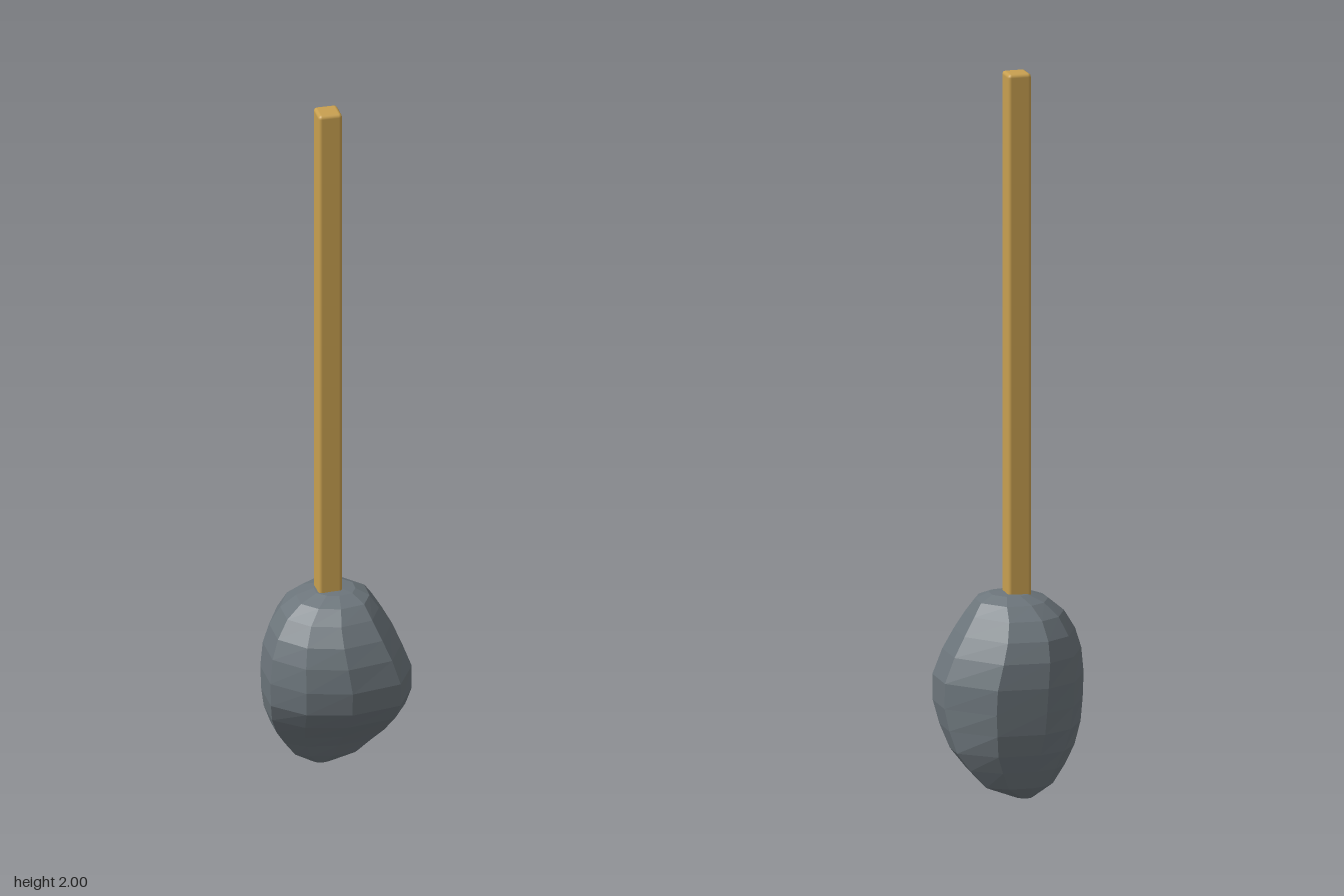
import * as THREE from 'three';
import { RoundedBoxGeometry } from 'three/addons/geometries/RoundedBoxGeometry.js';

// Ten-sided outline of the stone, unit size, as [x, z]
const outline = [
  [0, 1], [0.7, 0.86], [0.98, 0.35], [1, -0.3], [0.45, -0.95],
  [-0.25, -1], [-0.7, -0.72], [-1, -0.15], [-1, 0.42], [-0.6, 0.83],
];

// Stone cross-sections from bottom to top: [y, xMin, xMax, zMin, zMax]
const sections = [
  [0.005, -0.045, 0, -0.09, -0.05],
  [0.04, -0.1, 0.09, -0.125, -0.015],
  [0.09, -0.135, 0.135, -0.148, 0.025],
  [0.14, -0.165, 0.172, -0.168, 0.075],
  [0.2, -0.188, 0.19, -0.184, 0.14],
  [0.26, -0.199, 0.2, -0.191, 0.188],
  [0.33, -0.202, 0.199, -0.198, 0.2],
  [0.4, -0.195, 0.172, -0.194, 0.192],
  [0.455, -0.178, 0.142, -0.175, 0.172],
  [0.505, -0.148, 0.112, -0.142, 0.138],
  [0.54, -0.106, 0.088, -0.1, 0.1],
  [0.558, -0.058, 0.052, -0.055, 0.055],
];

function stoneGeometry() {
  const n = outline.length;
  const pos = [], index = [];
  for (const [y, x0, x1, z0, z1] of sections) {
    for (const [u, v] of outline) {
      pos.push((x0 + x1) / 2 + u * (x1 - x0) / 2, y, (z0 + z1) / 2 + v * (z1 - z0) / 2);
    }
  }
  const bottom = pos.length / 3;
  pos.push(-0.025, 0, -0.07, 0, 0.563, 0);
  const last = (sections.length - 1) * n;
  for (let i = 0; i < n; i++) {
    const j = (i + 1) % n;
    for (let r = 0; r < last; r += n) {
      index.push(r + i, r + j, r + n + j, r + i, r + n + j, r + n + i);
    }
    index.push(bottom, j, i, bottom + 1, last + i, last + j);
  }
  const geo = new THREE.BufferGeometry();
  geo.setAttribute('position', new THREE.Float32BufferAttribute(pos, 3));
  geo.setIndex(index);
  geo.computeVertexNormals();
  return geo;
}

export function createModel() {
  const model = new THREE.Group();
  model.name = 'stoneOnStick';

  // Faceted stone head, hollowed under its front
  const stone = new THREE.Mesh(
    stoneGeometry(),
    new THREE.MeshStandardMaterial({ color: 0x6c757b, flatShading: true }),
  );
  stone.name = 'stoneHead';
  model.add(stone);

  // Square wooden handle with softened edges, set into the stone
  const handle = new THREE.Mesh(
    new RoundedBoxGeometry(0.066, 1.5, 0.066, 2, 0.01),
    new THREE.MeshStandardMaterial({ color: 0xc8a050 }),
  );
  handle.name = 'handle';
  handle.position.set(-0.02, 1.25, -0.004);
  model.add(handle);

  return model;
}
